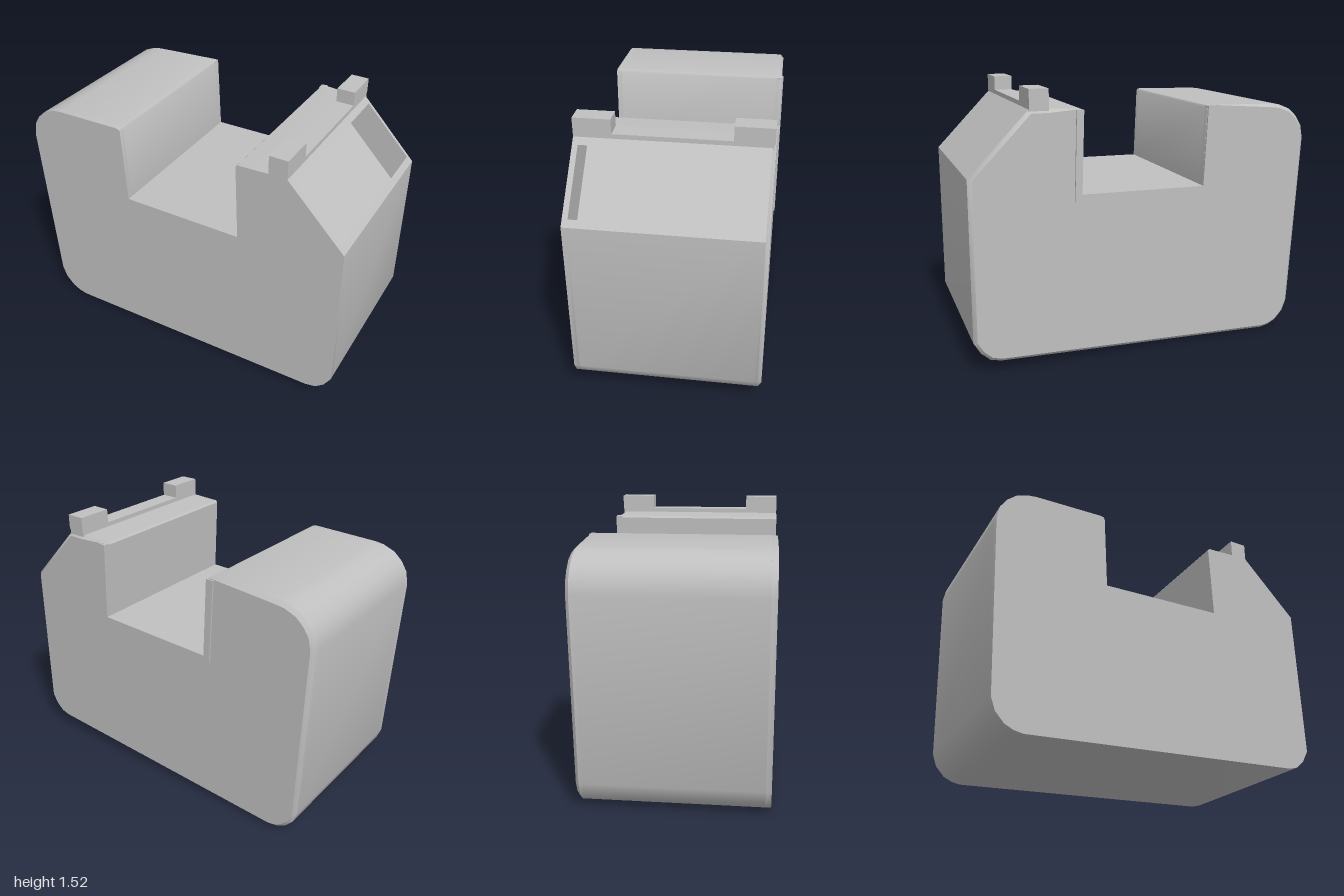
import * as THREE from 'three';
import { mergeGeometries, toCreasedNormals } from 'three/addons/utils/BufferGeometryUtils.js';

const FRONT = 0.52, BACK = -0.51, CHAMFER = 0.02;
const CREASE = 0.6;

// Side outline of the body, counter-clockwise, split where the sloped face lies
const lower = [
  [-0.78, 0], [0.85, 0.06], [0.91, 0.075], [0.96, 0.12], [0.998, 0.185], [0.99, 1.08],
];
const upper = [
  [0.66, 1.42], [0.555, 1.42], [0.38, 1.412], [0.37, 1.4],
  [0.385, 0.957], [-0.337, 0.945], [-0.355, 1.385], [-0.362, 1.396], [-0.378, 1.401],
  [-0.78, 1.39], [-0.83, 1.383], [-0.9, 1.355], [-0.95, 1.31], [-0.985, 1.255], [-1, 1.18],
  [-0.955, 0.16], [-0.93, 0.09], [-0.88, 0.035], [-0.83, 0.01],
];
// Deep recess behind the sloped face
const pocket = [[0.96, 1.111], [0.96, 0.86], [0.44, 1.39], [0.69, 1.389]];

const toVectors = (points) => points.map(([x, y]) => new THREE.Vector2(x, y));

function slab(points, z0, z1) {
  const geometry = new THREE.ExtrudeGeometry(new THREE.Shape(toVectors(points)), {
    depth: z1 - z0, bevelEnabled: false,
  });
  geometry.translate(0, 0, z0);
  geometry.deleteAttribute('uv');
  return geometry;
}

// Move each outline point inwards, leaving the notch untouched
function inset(points, amount) {
  const n = points.length;
  return points.map((p, i) => {
    if (Math.abs(p.x) < 0.39) return p.clone();
    const a = p.clone().sub(points[(i + n - 1) % n]).normalize();
    const b = points[(i + 1) % n].clone().sub(p).normalize();
    const normal = new THREE.Vector2(-a.y - b.y, a.x + b.x).normalize();
    const cosine = Math.max(0.5, normal.dot(new THREE.Vector2(-a.y, a.x)));
    return p.clone().addScaledVector(normal, amount / cosine);
  });
}

// Chamfered back edge and the back face
function chamferedBack(points) {
  const outer = toVectors(points);
  const inner = inset(outer, CHAMFER);
  const positions = [];
  const add = (p, z) => positions.push(p.x, p.y, z);
  const zOuter = BACK + CHAMFER;
  outer.forEach((p, i) => {
    const j = (i + 1) % outer.length;
    add(inner[i], BACK); add(inner[j], BACK); add(outer[j], zOuter);
    add(inner[i], BACK); add(outer[j], zOuter); add(p, zOuter);
  });
  for (const [a, b, c] of THREE.ShapeUtils.triangulateShape(inner, [])) {
    add(inner[c], BACK); add(inner[b], BACK); add(inner[a], BACK);
  }
  const geometry = new THREE.BufferGeometry();
  geometry.setAttribute('position', new THREE.Float32BufferAttribute(positions, 3));
  geometry.computeVertexNormals();
  return geometry;
}

export function createModel() {
  const model = new THREE.Group();
  model.name = 'notchedHousing';
  const grey = new THREE.MeshStandardMaterial({ color: 0xc0c0c0 });
  grey.name = 'plainGrey';

  const addMesh = (name, geometry) => {
    const mesh = new THREE.Mesh(geometry, grey);
    mesh.name = name;
    model.add(mesh);
  };
  const addBox = (name, x0, x1, y0, y1, z0, z1) => {
    const geometry = new THREE.BoxGeometry(x1 - x0, y1 - y0, z1 - z0);
    geometry.translate((x0 + x1) / 2, (y0 + y1) / 2, (z0 + z1) / 2);
    addMesh(name, geometry);
  };

  // Body: solid ends with the recessed section between them
  const solid = [...lower, ...upper];
  const recessed = [...lower, ...pocket, ...upper];
  const body = mergeGeometries([
    slab(solid, 0.49, FRONT),
    slab(recessed, -0.47, 0.49),
    slab(solid, BACK + CHAMFER, -0.47),
    chamferedBack(solid),
  ]);
  addMesh('body', toCreasedNormals(body, CREASE));

  // Thin lip around the notch at the back
  addMesh('notchRim', slab([
    [0.37, 1.408], [0.385, 0.957], [-0.337, 0.945], [-0.357, 1.396],
    [-0.4, 1.396], [-0.375, 0.908], [0.425, 0.92], [0.41, 1.41],
  ], -0.52, -0.48));

  // Low rail with a raised lug at each end
  addBox('topRail', 0.555, 0.66, 1.4, 1.445, -0.5, FRONT);
  addBox('frontLug', 0.555, 0.66, 1.44, 1.525, 0.32, FRONT);
  addBox('backLug', 0.555, 0.66, 1.44, 1.525, -0.505, -0.3);

  return model;
}
